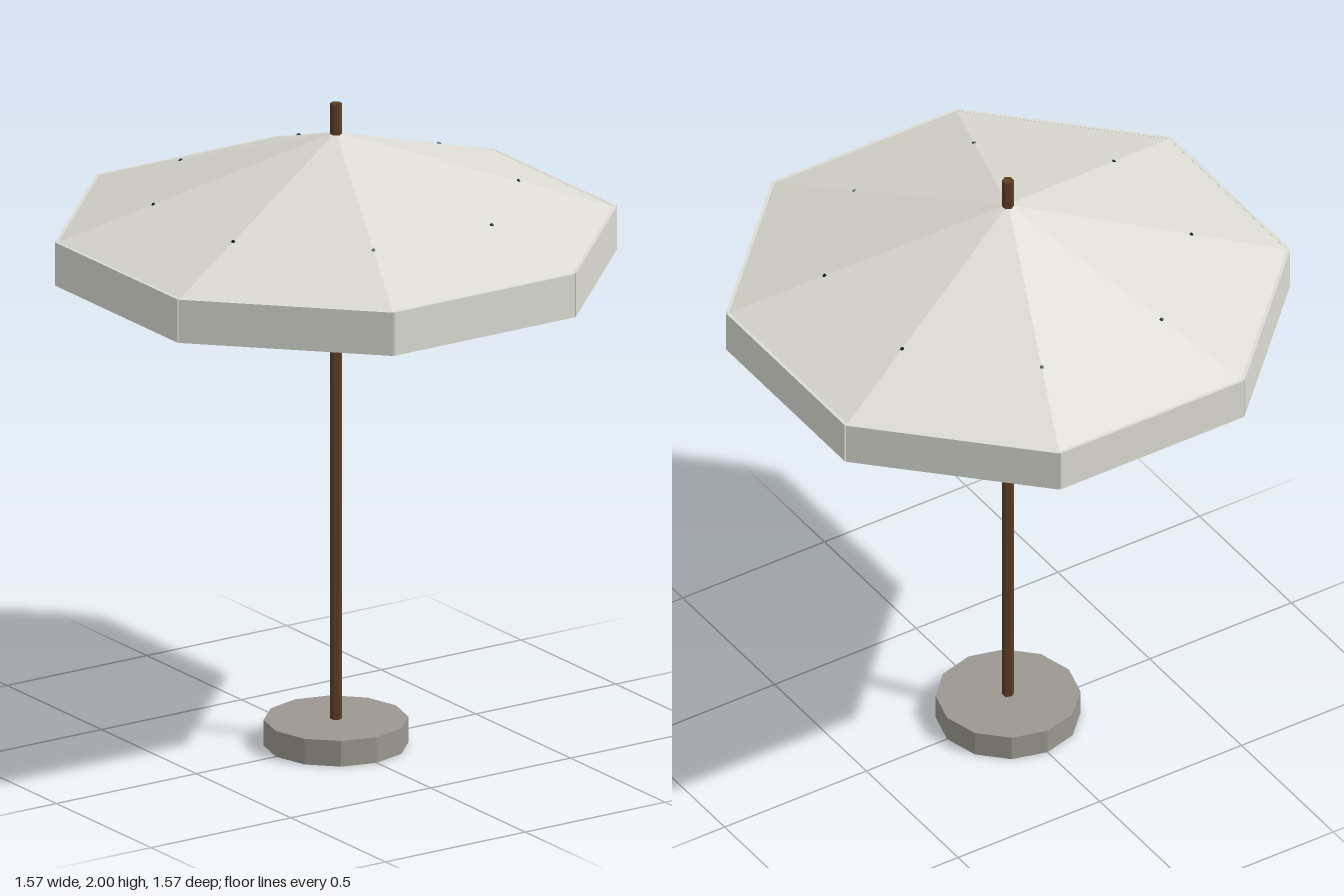
import * as THREE from 'three';

const paint = (name, color, extra = {}) => {
  const m = new THREE.MeshStandardMaterial({ color, flatShading: true, ...extra });
  m.name = name;
  return m;
};

export function createModel() {
  const canvas = paint('offWhiteCanvas', 0xdcdcd4, { side: THREE.DoubleSide });
  const wood = paint('brownWood', 0x5c3d26);
  const stone = paint('greyStone', 0x9a9890);
  const metal = paint('blackMetal', 0x1e211e);

  const parasol = new THREE.Group();
  parasol.name = 'parasol';
  const add = (name, geometry, material, x = 0, y = 0, z = 0) => {
    const mesh = new THREE.Mesh(geometry, material);
    mesh.name = name;
    mesh.position.set(x, y, z);
    parasol.add(mesh);
    return mesh;
  };

  // Weighted foot and hexagonal pole
  add('base', new THREE.CylinderGeometry(0.215, 0.215, 0.08, 12), stone, 0, 0.04, 0);
  add('pole', new THREE.CylinderGeometry(0.018, 0.018, 2, 6), wood, 0, 1, 0);

  // Eight-sided canopy, open underneath
  const sides = 8, radius = 0.845, eave = 1.62, apex = 1.91;
  add('canopy', new THREE.ConeGeometry(radius, apex - eave, sides, 1, true, Math.PI / sides),
    canvas, 0, (eave + apex) / 2, 0);

  // Hanging valance panels along each edge and struts under each ridge
  const apothem = radius * Math.cos(Math.PI / sides);
  const panel = new THREE.BoxGeometry(2 * radius * Math.sin(Math.PI / sides), 0.135, 0.01);
  const hub = new THREE.Vector3(0, 1.27, 0);
  const up = new THREE.Vector3(0, 1, 0);
  for (let i = 0; i < sides; i++) {
    const a = (i / sides) * Math.PI * 2;
    add('valancePanel', panel, canvas, Math.sin(a) * apothem, 1.555, Math.cos(a) * apothem)
      .rotation.y = a;

    const b = a + Math.PI / sides;
    const tip = new THREE.Vector3(Math.sin(b) * 0.555, 1.722, Math.cos(b) * 0.555);
    const span = tip.clone().sub(hub);
    const mid = hub.clone().addScaledVector(span, 0.5);
    add('strut', new THREE.CylinderGeometry(0.006, 0.006, span.length(), 5), metal, mid.x, mid.y, mid.z)
      .quaternion.setFromUnitVectors(up, span.normalize());
  }
  return parasol;
}
